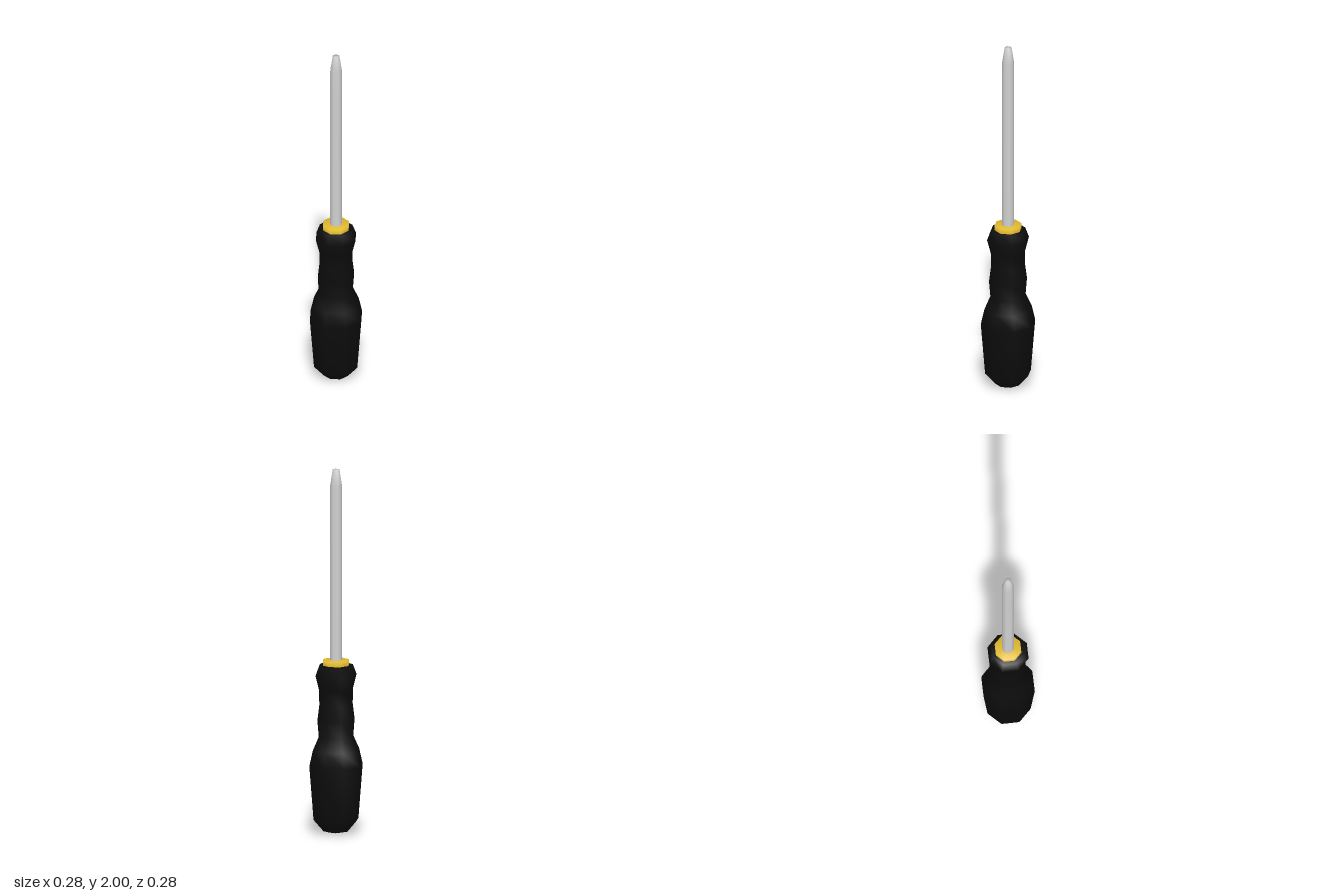
import * as THREE from 'three';

const SIDES = 8;
const TO_CORNER = 1 / Math.cos(Math.PI / SIDES); // flat half-width to corner radius

// Eight-sided turned part from [half-width, height] pairs, bottom to top
function turned(name, profile, material) {
  const points = profile.map(([w, y]) => new THREE.Vector2(w * TO_CORNER, y));
  const geometry = new THREE.LatheGeometry(points, SIDES, Math.PI / SIDES, Math.PI * 2);
  const mesh = new THREE.Mesh(geometry, material);
  mesh.name = name;
  return mesh;
}

function paint(name, color) {
  const material = new THREE.MeshStandardMaterial({ color });
  material.name = name;
  return material;
}

export function createModel() {
  const black = paint('black rubber', 0x0c0c0c);
  const yellow = paint('yellow plastic', 0xe0b92f);
  const steel = paint('steel', 0xd2d2d2);

  const model = new THREE.Group();
  model.name = 'screwdriver';

  // Grip with a rounded butt, full palm swell, finger waist and flared top
  model.add(turned('handle', [
    [0, 0], [0.065, 0.015], [0.117, 0.08], [0.139, 0.375], [0.121, 0.46],
    [0.09, 0.535], [0.097, 0.625], [0.087, 0.71], [0.088, 0.79],
    [0.107, 0.87], [0.088, 0.925], [0, 0.925],
  ], black));

  // Ring between the grip and the shaft
  model.add(turned('collar', [
    [0.069, 0.92], [0.069, 0.953], [0, 0.953],
  ], yellow));

  // Shaft with a tapered, blunt tip
  model.add(turned('shaft', [
    [0.031, 0.95], [0.031, 1.91], [0.018, 2], [0, 2],
  ], steel));

  return model;
}
